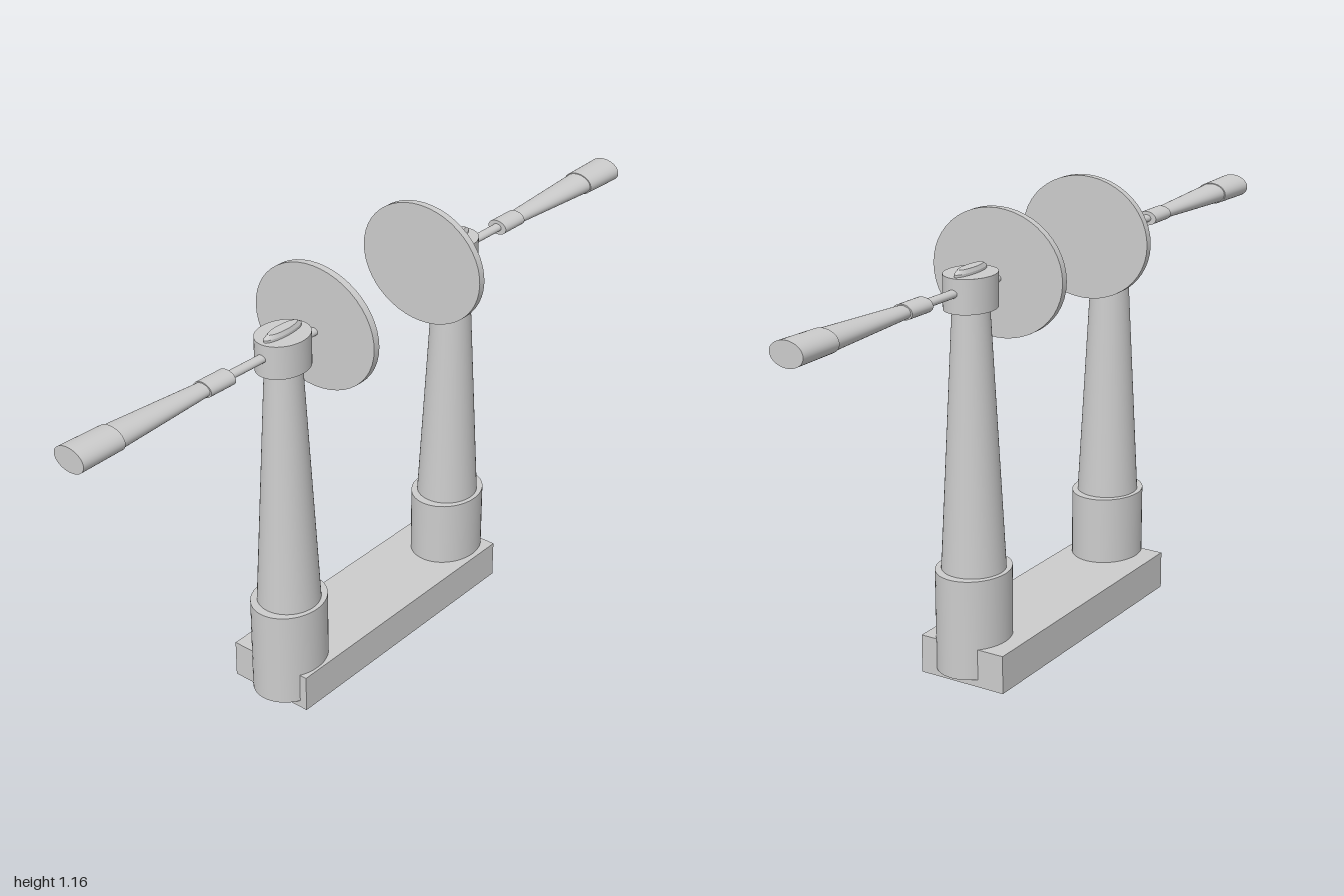
import * as THREE from 'three';

const grey = new THREE.MeshStandardMaterial({ color: 0xcccccc });
const SEG = 48;

function addMesh(parent, name, geometry, x, y, z) {
  const mesh = new THREE.Mesh(geometry, grey);
  mesh.name = name;
  mesh.position.set(x, y, z);
  parent.add(mesh);
  return mesh;
}

// Upright oval cylinder between two heights
function upright(parent, name, rBottom, rTop, y0, y1, zScale) {
  const g = new THREE.CylinderGeometry(rTop, rBottom, y1 - y0, SEG);
  g.scale(1, 1, zScale);
  return addMesh(parent, name, g, 0, (y0 + y1) / 2, 0);
}

// Oval cylinder lying along x, radii given in y
function along(parent, name, rStart, rEnd, x0, x1, zScale) {
  const g = new THREE.CylinderGeometry(rEnd, rStart, x1 - x0, SEG);
  g.rotateZ(-Math.PI / 2);
  g.scale(1, 1, zScale);
  return addMesh(parent, name, g, (x0 + x1) / 2, 0, 0);
}

// One stand, with its handle pointing to +x
function makeStand() {
  const stand = new THREE.Group();

  // Post
  upright(stand, 'postFoot', 0.105, 0.105, 0.02, 0.28, 0.87);
  upright(stand, 'postColumn', 0.083, 0.047, 0.28, 0.945, 0.96);
  upright(stand, 'postCap', 0.075, 0.075, 0.94, 1.026, 0.83);

  // Narrow chamfered key on the cap
  upright(stand, 'capKey', 0.064, 0.064, 1.02, 1.032, 0.28);
  upright(stand, 'capKeyBevel', 0.064, 0.05, 1.032, 1.041, 0.28);

  // Spindle with sleeve, tapered handle and disc, slightly tilted
  const spindle = new THREE.Group();
  spindle.name = 'spindle';
  spindle.position.set(0, 0.988, 0);
  spindle.rotation.set(0, -0.018, 0.007);
  along(spindle, 'rod', 0.01, 0.01, -0.12, 0.2, 1.3);
  along(spindle, 'sleeve', 0.019, 0.019, 0.188, 0.268, 1.5);
  along(spindle, 'handleTaper', 0.016, 0.027, 0.266, 0.55, 1.5);
  along(spindle, 'handleGrip', 0.029, 0.031, 0.548, 0.673, 1.5);
  stand.add(spindle);

  const disc = along(stand, 'disc', 0.16, 0.16, -0.126, -0.107, 1.155);
  disc.position.y = 1.0;
  disc.position.z = -0.003;
  return stand;
}

export function createModel() {
  const model = new THREE.Group();
  model.name = 'twinDiscStand';

  // Base bar
  addMesh(model, 'base', new THREE.BoxGeometry(0.79, 0.1, 0.24), 0.01, 0.05, -0.017);

  // Two stands, the right one turned half round
  const left = makeStand();
  left.name = 'leftStand';
  left.position.set(0.327, 0, -0.003);
  const right = makeStand();
  right.name = 'rightStand';
  right.position.set(-0.331, 0, 0.004);
  right.rotation.y = Math.PI;
  model.add(left, right);

  return model;
}
